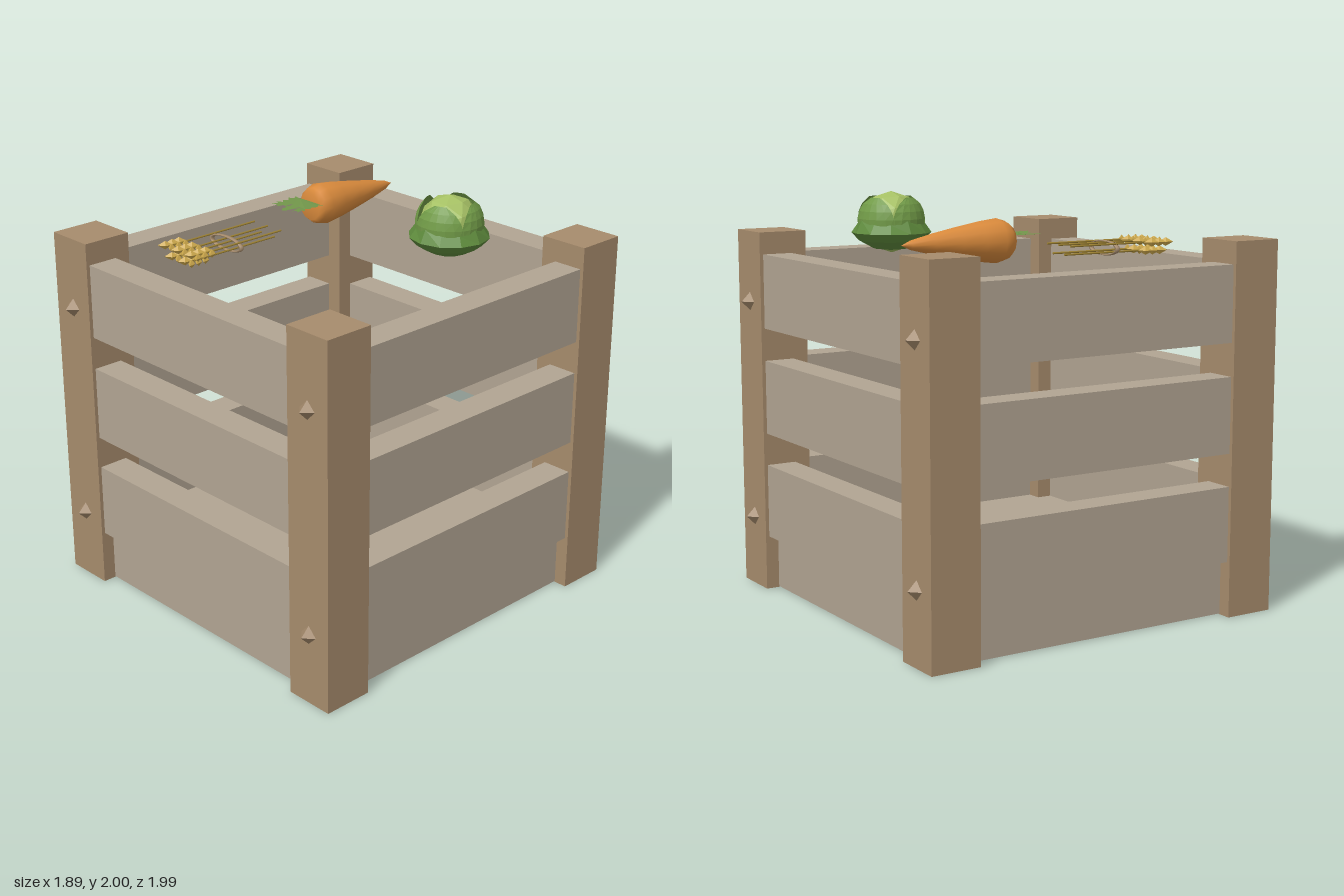
import * as THREE from 'three';

const mat = (name, color, opts = {}) => {
  const m = new THREE.MeshStandardMaterial({ color, ...opts });
  m.name = name;
  return m;
};

export function createModel() {
  const root = new THREE.Group();
  root.name = 'vegetableCrate';

  const flat = { flatShading: true };
  const leafy = { flatShading: true, side: THREE.DoubleSide };
  const slatWood = mat('slat wood', 0xb1a492);
  const postWood = mat('post wood', 0xa68b6c);
  const studBrown = mat('stud brown', 0xa08668, flat);
  const orange = mat('carrot orange', 0xd98a3c);
  const carrotGreen = mat('carrot leaf green', 0x71964a, leafy);
  const darkGreen = mat('outer leaf green', 0x5e8a3c, leafy);
  const midGreen = mat('middle leaf green', 0x729c48, leafy);
  const paleGreen = mat('cabbage heart green', 0xa5c064, flat);
  const strawGold = mat('straw gold', 0xa08434);
  const grainGold = mat('grain gold', 0xcca84c, flat);

  const add = (parent, name, geo, material, x = 0, y = 0, z = 0) => {
    const mesh = new THREE.Mesh(geo, material);
    mesh.name = name;
    mesh.position.set(x, y, z);
    parent.add(mesh);
    return mesh;
  };
  const group = (name, x = 0, y = 0, z = 0) => {
    const g = new THREE.Group();
    g.name = name;
    g.position.set(x, y, z);
    root.add(g);
    return g;
  };

  // Crate: corner posts with diamond studs on the front and back
  const crate = group('crate');
  const postGeo = new THREE.BoxGeometry(0.25, 1.8, 0.25);
  const studGeo = new THREE.OctahedronGeometry(0.05);
  for (const sx of [-1, 1]) for (const sz of [-1, 1]) {
    add(crate, 'cornerPost', postGeo, postWood, sx * 0.822, 0.9, sz * 0.822);
    for (const y of [0.355, 1.45]) add(crate, 'stud', studGeo, studBrown, sx * 0.822, y, sz * 0.943);
  }

  // Three rows of slats on each of the four sides, above a thick floor
  const slatX = new THREE.BoxGeometry(1.5, 0.367, 0.152);
  const slatZ = new THREE.BoxGeometry(0.152, 0.367, 1.5);
  for (const y of [0.453, 0.98, 1.508]) for (const s of [-1, 1]) {
    add(crate, 'slat', slatX, slatWood, 0, y, s * 0.853);
    add(crate, 'sideSlat', slatZ, slatWood, s * 0.853, y, 0);
  }
  add(crate, 'floor', new THREE.BoxGeometry(1.76, 0.266, 1.76), slatWood, 0, 0.137, 0);

  // Carrot lying with its tip towards the back
  const carrot = group('carrot', -0.38, 1.806, 0);
  const carrotProfile = [[0, 0.19], [0.07, 0.19], [0.09, 0.215], [0.104, 0.26], [0.092, 0.36],
    [0.073, 0.47], [0.048, 0.6], [0.022, 0.71], [0, 0.76]].map(p => new THREE.Vector2(...p));
  const root1 = add(carrot, 'carrotRoot', new THREE.LatheGeometry(carrotProfile, 12), orange);
  root1.rotation.x = -Math.PI / 2;

  // Jagged carrot top: half outline mirrored, lifted slightly at the edges
  const half = [[0.06, 0.2], [0.066, 0.185], [0.1, 0.185], [0.085, 0.165], [0.105, 0.145], [0.083, 0.125],
    [0.1, 0.1], [0.08, 0.085], [0.103, 0.06], [0.085, 0.055], [0.095, 0.02], [0.07, 0.04], [0.055, 0.02],
    [0.05, 0.055], [0.033, 0.06], [0.035, 0.09], [0.024, 0.1], [0.028, 0.06], [0.02, 0.045], [0.018, 0.02]];
  const outline = [...half, [0, 0.005], ...half.map(([x, y]) => [-x, y]).reverse()];
  const topGeo = new THREE.ShapeGeometry(new THREE.Shape(outline.map(p => new THREE.Vector2(...p))));
  topGeo.rotateX(-Math.PI / 2);
  const tp = topGeo.attributes.position;
  for (let i = 0; i < tp.count; i++) tp.setY(i, 0.02 + Math.abs(tp.getX(i)) * 0.1);
  topGeo.computeVertexNormals();
  add(carrot, 'carrotTop', topGeo, carrotGreen);

  // Cabbage: faceted heart, open bowl of outer leaves, wrapping middle leaves
  const cabbage = group('cabbage', 0.38, 1.85, -0.385);
  add(cabbage, 'cabbageHeart', new THREE.IcosahedronGeometry(0.15, 1), paleGreen);
  const bowlProfile = [[0, -0.14], [0.09, -0.128], [0.16, -0.09], [0.196, -0.05], [0.165, 0.0]]
    .map(p => new THREE.Vector2(...p));
  const bowl = new THREE.LatheGeometry(bowlProfile, 12);
  const bp = bowl.attributes.position;
  for (let i = 0; i < bp.count; i++) {
    if (i % 5 === 4) bp.setY(i, 0.012 * Math.cos(Math.atan2(bp.getX(i), bp.getZ(i)) * 4));
  }
  add(cabbage, 'outerLeaves', bowl, darkGreen);

  const leaf = new THREE.PlaneGeometry(2, 1, 6, 5);
  const lp = leaf.attributes.position;
  for (let i = 0; i < lp.count; i++) {
    const v = lp.getY(i) + 0.5;
    const a = lp.getX(i) * 0.85 * Math.sqrt(1 - 0.92 * v ** 2.5);
    const e = -0.35 + v * 1.15;
    const r = 0.163 + 0.008 * v;
    lp.setXYZ(i, r * Math.cos(e) * Math.sin(a), r * Math.sin(e), r * Math.cos(e) * Math.cos(a));
  }
  leaf.computeVertexNormals();
  for (let k = 0; k < 4; k++) {
    add(cabbage, 'middleLeaf', leaf, midGreen).rotation.y = 0.35 + k * Math.PI / 2;
  }

  // Wheat sheaf: three stalks above two, ears towards the front
  const wheat = group('wheatSheaf', -0.38, 1.745, 0);
  const stalkGeo = new THREE.CylinderGeometry(0.005, 0.005, 0.5, 6).rotateX(Math.PI / 2);
  const grainGeo = new THREE.OctahedronGeometry(1).scale(0.017, 0.021, 0.036);
  for (let i = 0; i < 5; i++) {
    const x = (i - 2) * 0.048;
    const y = i % 2 ? -0.018 : 0.025;
    add(wheat, 'stalk', stalkGeo, strawGold, x, y, 0.34);
    for (const s of [-1, 1]) for (let j = 0; j < 3; j++) {
      add(wheat, 'grain', grainGeo, grainGold, x + s * 0.025, y, 0.545 + j * 0.042).rotation.y = s * 0.6;
    }
  }

  // Flattened band tying the stalks
  const band = add(wheat, 'band', new THREE.TorusGeometry(0.108, 0.012, 6, 20), postWood, 0, 0, 0.353);
  band.scale.set(1, 0.31, 1);

  return root;
}
